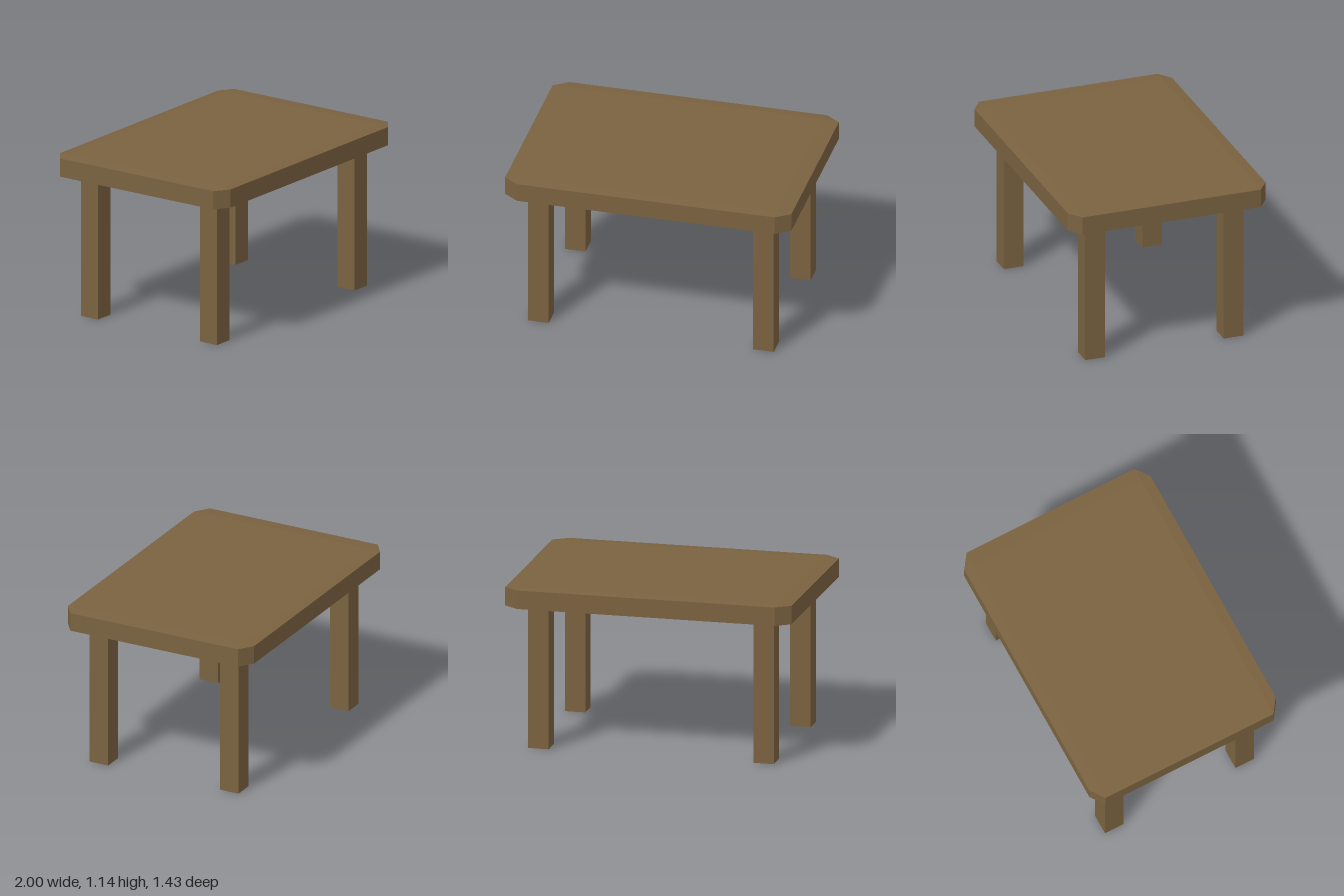
import * as THREE from 'three';
import { ConvexGeometry } from 'three/addons/geometries/ConvexGeometry.js';

// Box with every edge cut by a flat bevel of (bx, by, bz)
function chamferedBox(w, h, d, bx, by, bz) {
  const points = [];
  for (const sx of [-1, 1]) for (const sy of [-1, 1]) for (const sz of [-1, 1]) {
    const x = w / 2, y = h / 2, z = d / 2;
    points.push(
      new THREE.Vector3(sx * x, sy * (y - by), sz * (z - bz)),
      new THREE.Vector3(sx * (x - bx), sy * y, sz * (z - bz)),
      new THREE.Vector3(sx * (x - bx), sy * (y - by), sz * z)
    );
  }
  return new ConvexGeometry(points);
}

export function createModel() {
  const table = new THREE.Group();
  table.name = 'table';
  const wood = new THREE.MeshStandardMaterial({ color: 0x7a6240, flatShading: true });

  // Table top with cut corners and a very shallow bevel above and below
  const topHeight = 0.143;
  const top = new THREE.Mesh(chamferedBox(2, topHeight, 1.429, 0.1, 0.007, 0.071), wood);
  top.name = 'tableTop';
  top.position.y = 1 + topHeight / 2;
  table.add(top);

  // Four square legs
  const legGeometry = new THREE.BoxGeometry(0.143, 1, 0.143);
  for (const sx of [-1, 1]) for (const sz of [-1, 1]) {
    const leg = new THREE.Mesh(legGeometry, wood);
    leg.name = (sz > 0 ? 'front' : 'back') + (sx > 0 ? 'Left' : 'Right') + 'Leg';
    leg.position.set(sx * 0.786, 0.5, sz * 0.5);
    table.add(leg);
  }
  return table;
}
